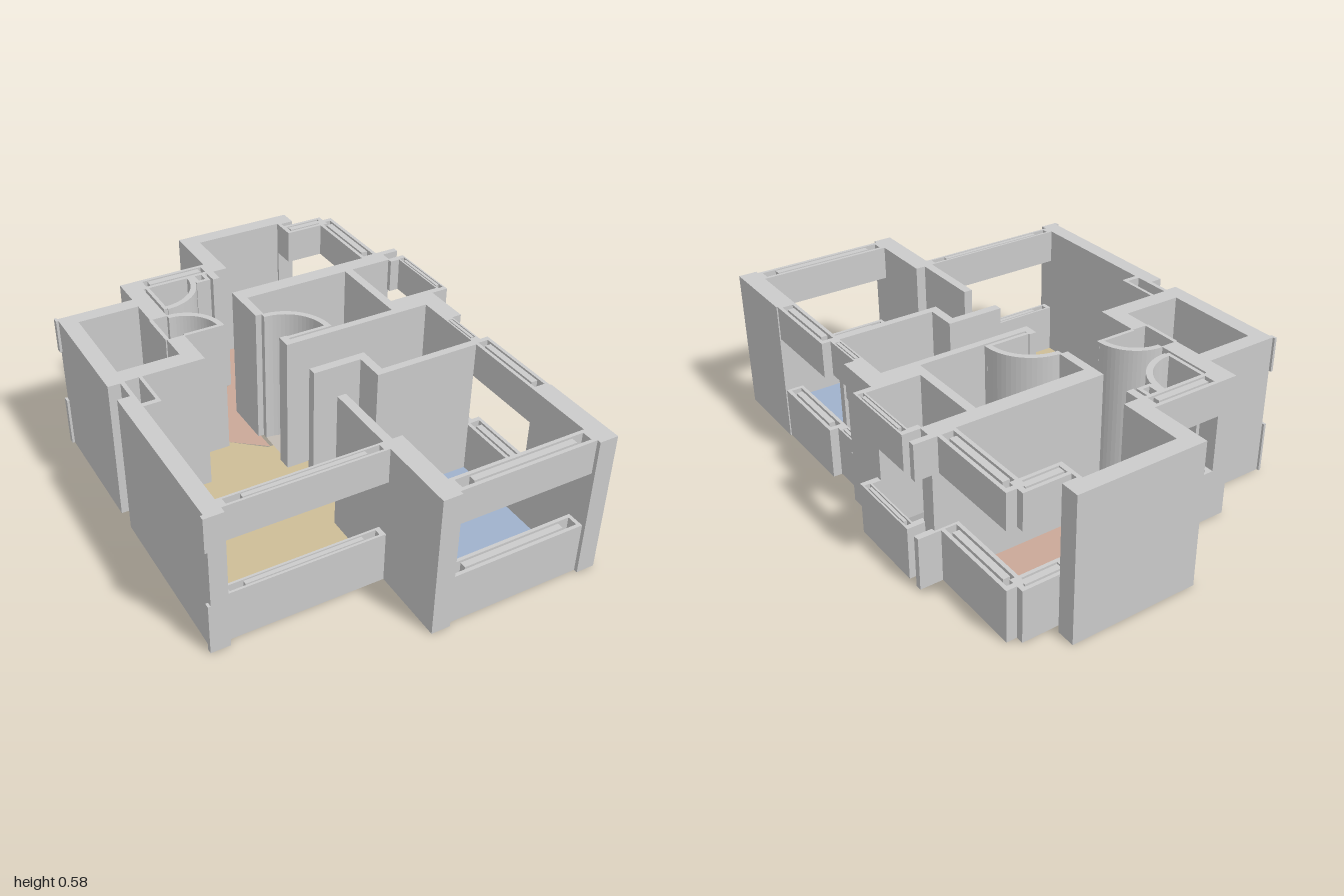
import * as THREE from 'three';

const H = 0.58, SILL = 0.21, HEAD = 0.44;

export function createModel() {
  const model = new THREE.Group();
  const grey = new THREE.MeshStandardMaterial({ color: 0xcccccc });

  const box = (parent, name, [x0, x1, z0, z1], y0 = 0, y1 = H) => {
    const m = new THREE.Mesh(new THREE.BoxGeometry(x1 - x0, y1 - y0, z1 - z0), grey);
    m.position.set((x0 + x1) / 2, (y0 + y1) / 2, (z0 + z1) / 2);
    m.name = name;
    parent.add(m);
  };
  // the same footprint below the sill and above the head, open between
  const band = (parent, name, r) => {
    box(parent, name + 'Sill', r, 0, SILL);
    box(parent, name + 'Lintel', r, HEAD, H);
  };
  const group = (name) => {
    const g = new THREE.Group();
    g.name = name;
    model.add(g);
    return g;
  };

  // Full-height walls: x0, x1, z0, z1
  const outer = group('outerWalls');
  [
    [-0.72, -0.655, 0, 0.72],
    [-0.72, -0.655, -0.62, -0.09],
    [-0.655, -0.405, -0.62, -0.56],
    [-0.655, -0.34, -0.165, -0.095],
    [-0.41, -0.34, -0.75, -0.44],
    [-0.415, -0.4, -0.44, -0.28],
    [-0.41, -0.34, -0.28, -0.165],
    [-0.04, 0.03, -1, -0.675],
    [0.03, 0.475, -1, -0.935],
    [0.405, 0.475, -0.935, -0.925],
    [-0.04, 0.035, 0.65, 1],
    [0.585, 0.66, 0.65, 1],
    [0.585, 0.66, -0.03, 0.09],
    [0.48, 0.66, -0.12, -0.03],
    [0.48, 0.66, -0.48, -0.415],
  ].forEach((r) => box(outer, 'outerWall', r));

  const inner = group('innerWalls');
  [
    [-0.035, 0.48, -0.48, -0.415],
    [-0.04, -0.005, -0.48, -0.275],
    [0.445, 0.48, -0.415, -0.06],
    [-0.035, 0.59, -0.06, -0.03],
    [-0.035, -0.005, -0.09, -0.06],
    [-0.04, 0.19, 0.15, 0.185],
    [0.155, 0.19, 0.185, 0.305],
    [0.19, 0.585, 0.275, 0.305],
    [-0.04, -0.005, 0.35, 0.65],
    [-0.13, -0.115, -0.675, -0.63],
    [-0.085, -0.07, -0.675, -0.62],
    [-0.13, -0.07, -0.635, -0.62],
    [-0.06, -0.03, -0.675, -0.615],
  ].forEach((r) => box(inner, 'innerWall', r));

  // Windows: hollow sill and lintel frames with a central rail
  const addWindow = (name, x0, x1, z0, z1) => {
    const g = group(name);
    const alongX = x1 - x0 > z1 - z0;
    const [a0, a1, b0, b1] = alongX ? [x0, x1, z0, z1] : [z0, z1, x0, x1];
    const t = (b1 - b0) * 0.2, cap = 0.02, e = (a1 - a0) * 0.13, mid = (b0 + b1) / 2;
    [
      [a0, a1, b0, b0 + t],
      [a0, a1, b1 - t, b1],
      [a0, a0 + cap, b0 + t, b1 - t],
      [a1 - cap, a1, b0 + t, b1 - t],
      [a0 + e, a1 - e, mid - t * 0.9, mid + t * 0.9],
    ].forEach(([p, q, r, s]) => band(g, 'window', alongX ? [p, q, r, s] : [r, s, p, q]));
  };
  addWindow('livingFrontWindow', -0.655, -0.04, 0.65, 0.695);
  addWindow('bedroomFrontWindow', 0.03, 0.59, 0.915, 0.985);
  addWindow('bedroomSideWindow', 0.585, 0.655, 0.28, 0.655);
  addWindow('hallSideWindow', 0.585, 0.62, 0.09, 0.28);
  addWindow('balconyWindow', 0.695, 0.73, -0.42, -0.095);
  addWindow('rearSideWindow', 0.565, 0.64, -0.87, -0.47);
  addWindow('rearCornerWindow', 0.405, 0.6, -0.9, -0.83);
  addWindow('bathWindow', -0.34, -0.04, -0.75, -0.675);

  // Low and high trims, ledges and the side niche
  const trims = group('trims');
  [
    [0.655, 0.7, -0.42, -0.395],
    [0.655, 0.7, -0.12, -0.095],
    [0.62, 0.73, -0.49, -0.465],
    [0.58, 0.6, -0.89, -0.86],
    [0.405, 0.42, -0.93, -0.83],
    [-0.73, -0.72, -0.63, -0.605],
    [-0.73, -0.72, 0.7, 0.72],
    [-0.672, -0.655, -0.095, 0.08],
    [-0.6, -0.587, -0.095, 0.08],
    [-0.655, -0.6, 0.06, 0.08],
    [0.62, 0.66, 0.075, 0.1],
  ].forEach((r) => band(trims, 'trim', r));

  // Quarter-circle door sweeps, full height
  const arc = (cx, cz, r, a0, a1) =>
    Array.from({ length: 17 }, (_, i) => {
      const a = a0 + ((a1 - a0) * i) / 16;
      return new THREE.Vector2(cx + r * Math.cos(a), cz + r * Math.sin(a));
    });
  const Q = Math.PI / 2;
  const doors = [
    { name: 'showerDoor', c: [-0.015, -0.08], r: 0.195, a: [-Q, 0] },
    { name: 'utilityDoor', c: [-0.34, -0.28], r: 0.165, a: [-Q, 0] },
    { name: 'bathDoor', c: [-0.315, -0.675], r: 0.19, a: [0, Q] },
  ];
  const doorGroup = group('curvedDoors');
  const floors = group('floors');

  const floor = (name, color, pts) => {
    const shape = new THREE.Shape(pts.map((p) => (p.isVector2 ? p : new THREE.Vector2(...p))));
    const m = new THREE.Mesh(
      new THREE.ShapeGeometry(shape).rotateX(Q),
      new THREE.MeshStandardMaterial({ color, side: THREE.DoubleSide }),
    );
    m.position.y = 0.002;
    m.name = name;
    floors.add(m);
  };

  doors.forEach(({ name, c, r, a }) => {
    const ring = new THREE.Shape([...arc(...c, r, ...a), ...arc(...c, r - 0.024, a[1], a[0])]);
    const geo = new THREE.ExtrudeGeometry(ring, { depth: H, bevelEnabled: false }).rotateX(Q);
    const m = new THREE.Mesh(geo, grey);
    m.position.y = H;
    m.name = name;
    doorGroup.add(m);
    floor(name + 'Floor', 0xc2bbb4, [c, ...arc(...c, r, ...a)]);
  });
  // Straight door leaves
  box(doorGroup, 'doorLeaf', [-0.015, 0.18, -0.085, -0.07]);
  box(doorGroup, 'doorLeaf', [-0.34, -0.175, -0.288, -0.273]);
  box(doorGroup, 'doorLeaf', [-0.33, -0.315, -0.675, -0.49]);

  // Room floors
  const [shower, utility, bath] = doors.map((d) => arc(...d.c, d.r, ...d.a));
  floor('livingFloor', 0xcdbd97, [
    [-0.655, 0.07], [-0.59, 0.07], [-0.59, -0.1], [-0.34, -0.1], [-0.34, -0.28], [-0.175, -0.28],
    [-0.175, -0.305], [-0.04, -0.19], [-0.015, -0.19], [-0.015, -0.03], [0.59, -0.03], [0.59, 0.28],
    [0.17, 0.28], [0.17, 0.17], [0.115, 0.17], [0.115, 0.35], [-0.005, 0.455], [-0.03, 0.65], [-0.655, 0.65],
  ]);
  floor('bedroomFloor', 0x9fb2cc, [
    [0.115, 0.17], [0.17, 0.17], [0.17, 0.29], [0.59, 0.29], [0.59, 0.92], [0.03, 0.92],
    [0.03, 0.65], [-0.01, 0.65], [-0.01, 0.46], [0.115, 0.35],
  ]);
  floor('rearRoomFloor', 0xcaa898, [
    [0.025, -0.94], [0.405, -0.94], [0.405, -0.83], [0.57, -0.83], [0.57, -0.475], [-0.03, -0.475],
    [-0.03, -0.19], [-0.175, -0.305], ...utility.slice(0, -1).reverse(), [-0.345, -0.675],
    [-0.315, -0.675], ...bath.slice().reverse(), [-0.06, -0.64], [0.025, -0.675],
  ]);
  floor('showerFloor', 0x98bcbc, [
    [-0.015, -0.42], [0.45, -0.42], [0.45, -0.055], [0.18, -0.055], ...shower.slice().reverse(),
  ]);
  floor('balconyFloor', 0xa6a6a6, [[0.475, -0.42], [0.7, -0.42], [0.7, -0.115], [0.475, -0.115]]);
  floor('utilityFloor', 0xc2bbb4, [[-0.66, -0.565], [-0.41, -0.565], [-0.41, -0.16], [-0.66, -0.16]]);

  return model;
}
